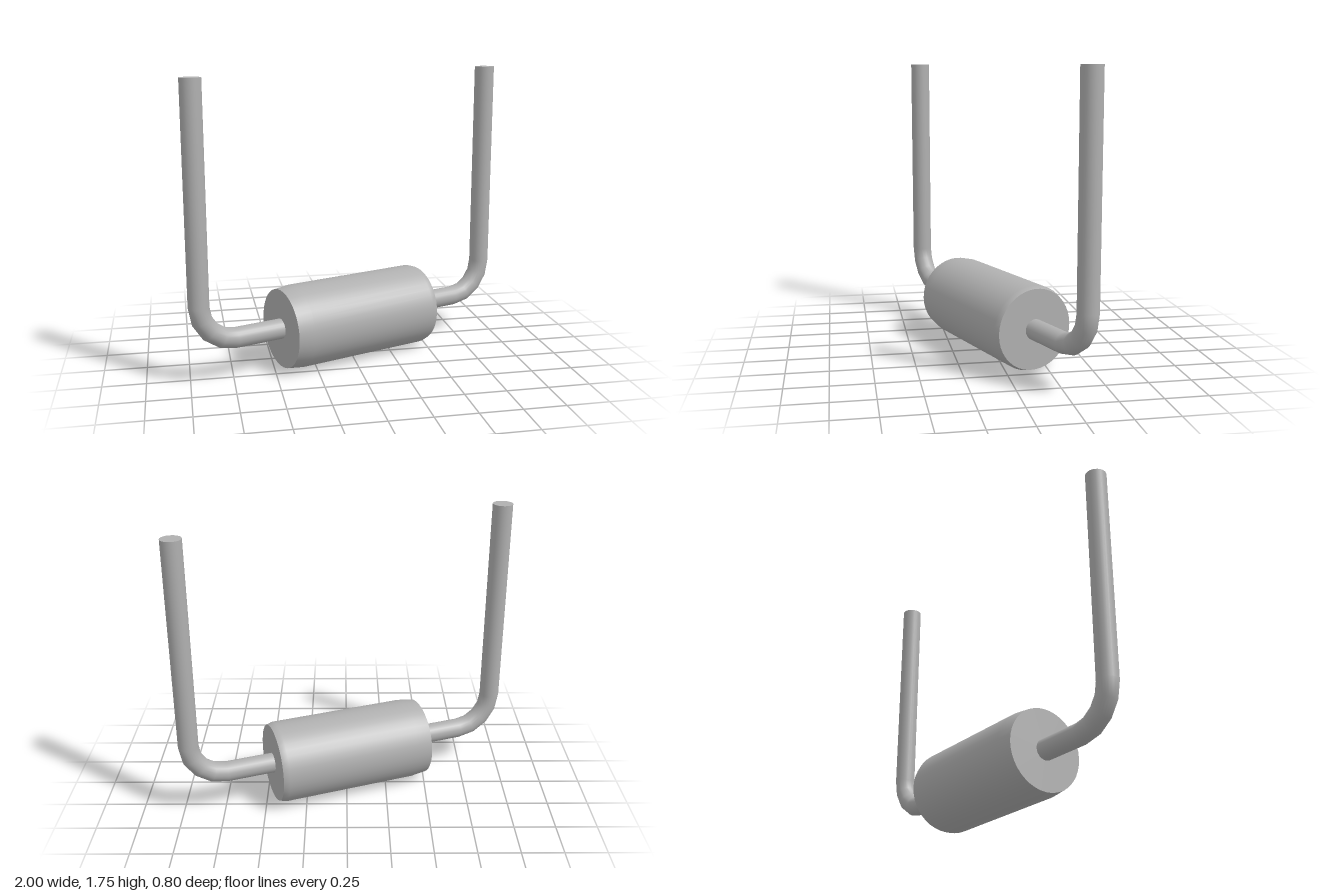
import * as THREE from 'three';

export function createModel() {
  const model = new THREE.Group();
  model.name = 'muffler';
  const steel = new THREE.MeshStandardMaterial({ color: 0xb0b0b0 });
  steel.name = 'grey steel';

  const AXIS_Y = 0.25;   // height of the horizontal run
  const PIPE_R = 0.061;
  const REACH = 1.0;     // distance of each riser from the centre
  const BEND_R = 0.22;
  const TOP = 1.75;

  // The whole assembly runs diagonally across the frame
  const assembly = new THREE.Group();
  assembly.name = 'assembly';
  assembly.rotation.y = THREE.MathUtils.degToRad(19.9);
  model.add(assembly);

  function add(name, geometry, x, y, parent = assembly) {
    const mesh = new THREE.Mesh(geometry, steel);
    mesh.name = name;
    mesh.position.set(x, y, 0);
    parent.add(mesh);
    return mesh;
  }

  // Canister: wall with slightly drawn-in ends, plus flat end caps
  const wall = [[0.238, -0.487], [0.25, -0.39], [0.25, 0.45], [0.238, 0.487]]
    .map(([r, u]) => new THREE.Vector2(r, u));
  add('canisterWall', new THREE.LatheGeometry(wall, 40).rotateZ(-Math.PI / 2), 0, AXIS_Y);
  for (const side of [-1, 1]) {
    const cap = new THREE.CircleGeometry(0.238, 40).rotateY(side * Math.PI / 2);
    add('canisterEndCap', cap, side * 0.487, AXIS_Y);
  }

  // Pipes: horizontal stub, quarter bend and tall riser on each end
  for (const side of [-1, 1]) {
    const pipe = new THREE.Group();
    pipe.name = side > 0 ? 'leftPipe' : 'rightPipe';
    assembly.add(pipe);

    const bendX = REACH - BEND_R;
    const stubStart = 0.46;
    const stubLength = bendX - stubStart;
    const stub = new THREE.CylinderGeometry(PIPE_R, PIPE_R, stubLength, 24, 1, true)
      .rotateZ(Math.PI / 2);
    add('stub', stub, side * (stubStart + stubLength / 2), AXIS_Y, pipe);

    const bend = new THREE.TorusGeometry(BEND_R, PIPE_R, 24, 4, Math.PI / 2)
      .rotateZ(side > 0 ? -Math.PI / 2 : Math.PI);
    add('bend', bend, side * bendX, AXIS_Y + BEND_R, pipe);

    const riserBase = AXIS_Y + BEND_R;
    const riserLength = TOP - riserBase;
    const riser = new THREE.CylinderGeometry(PIPE_R, PIPE_R, riserLength, 24);
    add('riser', riser, side * REACH, riserBase + riserLength / 2, pipe);
  }

  return model;
}
